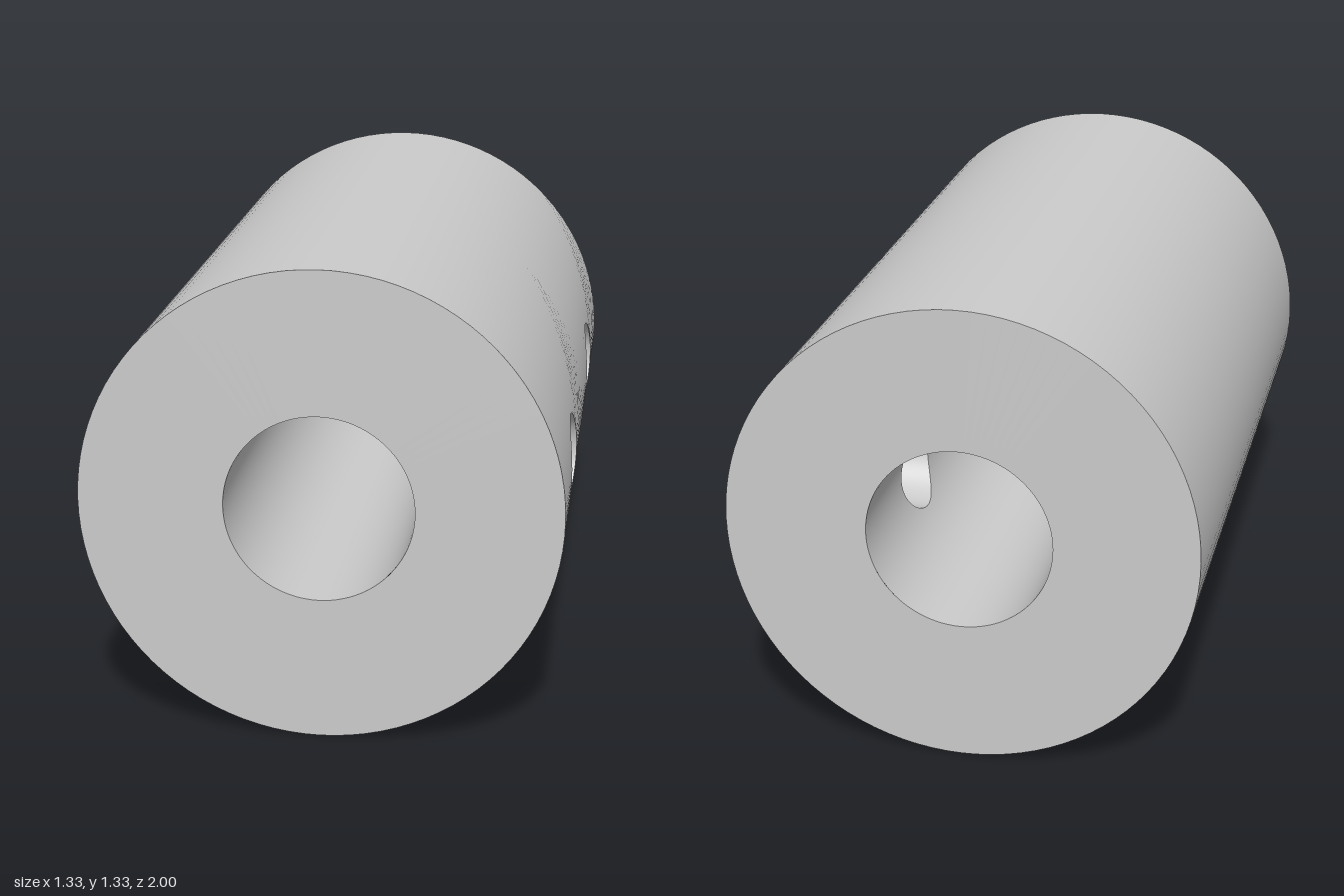
import * as THREE from 'three';
import { ParametricGeometry } from 'three/addons/geometries/ParametricGeometry.js';

const OUTER = 0.667, BORE = 0.263, HOLE = 0.14, HALF = 1;
const PATCH = Math.PI / 4; // half angle of the wall strip that carries the holes
const HOLE_Z = [0.5, -0.5];

export function createModel() {
  const model = new THREE.Group();
  model.name = 'drilledSleeve';
  const material = new THREE.MeshStandardMaterial({ color: 0xcccccc });

  function add(name, geometry) {
    const mesh = new THREE.Mesh(geometry, material);
    mesh.name = name;
    model.add(mesh);
    return mesh;
  }

  // Smooth surface from a rule; flip turns its front to the other side
  function surface(name, rule, slices, stacks, flip) {
    const fn = (u, v, target) => rule(flip ? 1 - u : u, v, target);
    return add(name, new ParametricGeometry(fn, slices, stacks));
  }

  const onCylinder = (radius, angle, z, target) =>
    target.set(radius * Math.cos(angle), radius * Math.sin(angle), z);

  for (const [name, radius, inside] of [['outerWall', OUTER, false], ['boreWall', BORE, true]]) {
    // Plain part of the wall
    surface(name, (u, v, target) => {
      const angle = PATCH + u * 2 * (Math.PI - PATCH);
      onCylinder(radius, angle, (2 * v - 1) * HALF, target);
    }, 72, 1, inside);

    // Curved patch around each hole, blending from round rim to rectangle
    for (const z of HOLE_Z) {
      surface(name + 'HolePatch', (u, v, target) => {
        const c = Math.cos(u * 2 * Math.PI), s = Math.sin(u * 2 * Math.PI);
        const m = Math.max(Math.abs(c), Math.abs(s));
        const angle = THREE.MathUtils.lerp(Math.asin(HOLE * c / radius), PATCH * c / m, v);
        const dz = THREE.MathUtils.lerp(HOLE * s, HALF / 2 * s / m, v);
        onCylinder(radius, angle, z + dz, target);
      }, 96, 10, !inside);
    }
  }

  // Radial holes from the bore to the outside
  for (const z of HOLE_Z) {
    surface('sideHole', (u, v, target) => {
      const y = HOLE * Math.cos(u * 2 * Math.PI);
      const x = THREE.MathUtils.lerp(Math.sqrt(BORE ** 2 - y * y), Math.sqrt(OUTER ** 2 - y * y), v);
      target.set(x, y, z + HOLE * Math.sin(u * 2 * Math.PI));
    }, 96, 1, true);
  }

  // Flat end faces
  for (const side of [1, -1]) {
    const end = add(side > 0 ? 'frontFace' : 'backFace', new THREE.RingGeometry(BORE, OUTER, 96));
    end.position.z = side * HALF;
    if (side < 0) end.rotation.y = Math.PI;
  }

  for (const mesh of model.children) mesh.position.y = OUTER;
  return model;
}
